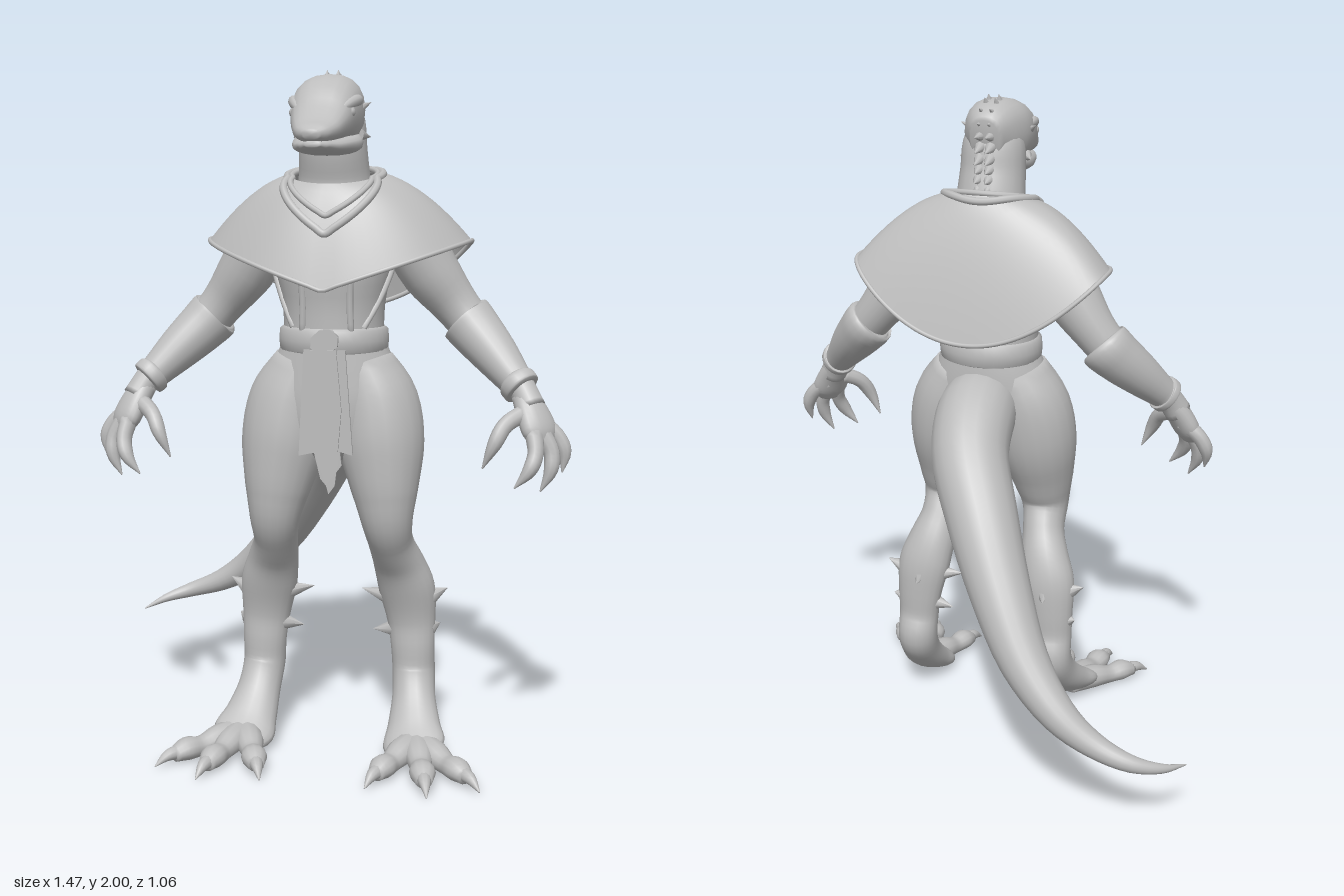
import * as THREE from 'three';

const V = (x, y, z) => new THREE.Vector3(x, y, z);
const grey = new THREE.MeshStandardMaterial({ color: 0xbdbdbd, side: THREE.DoubleSide });
grey.name = 'grey';
const X = V(1, 0, 0), Z = V(0, 0, 1);
const pw = (v, p) => Math.sign(v) * Math.abs(v) ** p;

// smooth body through rings [x, y, z, radiusA, radiusB]; radiusA lies along ref
function loft(rings, { ref = X, seg = 20, sub = 4, p = 1, s = 1 } = {}) {
  const path = new THREE.CatmullRomCurve3(rings.map(r => V(r[0] * s, r[1], r[2])));
  const radii = new THREE.CatmullRomCurve3(rings.map(r => V(r[3], r[4] ?? r[3], 0)), false, 'catmullrom');
  const n = (rings.length - 1) * sub, pos = [], idx = [];
  const a = ref.clone(), at = (i, j) => i * seg + j % seg;
  for (let i = 0; i <= n; i++) {
    const c = path.getPoint(i / n), t = path.getTangent(i / n), r = radii.getPoint(i / n);
    a.addScaledVector(t, -a.dot(t)).normalize();
    const b = t.clone().cross(a);
    for (let j = 0; j < seg; j++) {
      const th = j / seg * Math.PI * 2;
      const q = c.clone().addScaledVector(a, r.x * pw(Math.cos(th), p)).addScaledVector(b, r.y * pw(Math.sin(th), p));
      pos.push(q.x, q.y, q.z);
      if (i < n) idx.push(at(i, j), at(i, j + 1), at(i + 1, j), at(i, j + 1), at(i + 1, j + 1), at(i + 1, j));
    }
  }
  const first = path.getPoint(0), last = path.getPoint(1), k = (n + 1) * seg;
  pos.push(...first.toArray(), ...last.toArray());
  for (let j = 0; j < seg; j++) idx.push(k, at(0, j + 1), at(0, j), k + 1, at(n, j), at(n, j + 1));
  return indexed(pos, idx);
}

function indexed(pos, idx) {
  const g = new THREE.BufferGeometry();
  g.setAttribute('position', new THREE.Float32BufferAttribute(pos, 3));
  g.setIndex(idx);
  g.computeVertexNormals();
  return g;
}

// cape surface: angle a around the neck, t from collar to hem
function capePoint(a, t) {
  const c = Math.cos(a), s = Math.sin(a);
  const hz = s > 0 ? 0.07 + 0.28 * s : 0.07 - 0.165 * Math.abs(s) ** 0.65;
  const hy = s > 0 ? 1.39 + 0.13 * Math.abs(c) : 1.31 + 0.21 * c * c;
  const h = t ** (1 - 0.3 * s * s), d = t ** (1 + 0.7 * c * c);
  const y0 = 1.71 - 0.025 * s, z0 = 0.15 + 0.1 * s;
  return V(0.125 * c + (0.39 - 0.125) * c * h, y0 + (hy - y0) * d, z0 + (hz - z0) * h);
}

export function createModel() {
  const model = new THREE.Group();
  const body = new THREE.Group();
  body.name = 'lizardWarrior';
  body.position.x = 0.035;
  model.add(body);
  const add = (name, geo) => {
    const m = new THREE.Mesh(geo, grey);
    m.name = name;
    body.add(m);
    return m;
  };
  const spike = (name, from, to, r) => {
    const d = to.clone().sub(from);
    const m = add(name, new THREE.ConeGeometry(r, d.length(), 8));
    m.position.copy(from).addScaledVector(d, 0.5);
    m.quaternion.setFromUnitVectors(V(0, 1, 0), d.normalize());
    return m;
  };

  // head, jaw and neck
  add('head', loft([[0, 1.88, 0.1, 0.045, 0.06], [0, 1.89, 0.15, 0.08, 0.09], [0, 1.888, 0.22, 0.1, 0.1],
    [0, 1.878, 0.29, 0.097, 0.09], [0, 1.85, 0.36, 0.083, 0.056], [0, 1.828, 0.42, 0.066, 0.034],
    [0, 1.818, 0.465, 0.048, 0.024], [0, 1.814, 0.488, 0.022, 0.012]], { p: 0.85 }));
  add('jaw', loft([[0, 1.81, 0.18, 0.08, 0.04], [0, 1.797, 0.25, 0.1, 0.035], [0, 1.79, 0.33, 0.086, 0.026],
    [0, 1.785, 0.41, 0.064, 0.019], [0, 1.787, 0.455, 0.044, 0.014], [0, 1.79, 0.474, 0.02, 0.008]], { p: 0.85 }));
  add('neck', loft([[0, 1.62, 0.15, 0.12, 0.1], [0, 1.7, 0.155, 0.105, 0.093], [0, 1.78, 0.175, 0.099, 0.09],
    [0, 1.86, 0.185, 0.094, 0.083], [0, 1.92, 0.2, 0.07, 0.06]]));

  // crest of spines down the back of the neck
  const crest = new THREE.CatmullRomCurve3([V(0, 1.965, 0.22), V(0, 1.955, 0.16), V(0, 1.89, 0.115), V(0, 1.81, 0.1), V(0, 1.74, 0.085)]);
  for (let i = 0; i < 11; i++) {
    const u = i / 10, p = crest.getPoint(u), t = crest.getTangent(u);
    const out = V(0, -t.z, t.y).addScaledVector(t, 0.35).normalize();
    for (const s of [-1, 1]) {
      const from = p.clone().add(V(0.016 * s, 0, 0));
      spike('crestSpine', from, from.clone().addScaledVector(out, 0.028 + 0.03 * Math.sin(Math.PI * u) + 0.006 * (i % 2)), 0.018);
    }
  }

  // torso with belt and buckle
  add('torso', loft([[0, 1.12, 0.16, 0.16, 0.125], [0, 1.22, 0.16, 0.148, 0.13], [0, 1.34, 0.162, 0.15, 0.13],
    [0, 1.46, 0.163, 0.175, 0.14], [0, 1.57, 0.15, 0.19, 0.125], [0, 1.64, 0.15, 0.15, 0.105], [0, 1.7, 0.15, 0.1, 0.08]], { seg: 28 }));
  add('hips', loft([[0, 1.24, 0.16, 0.148, 0.13], [0, 1.15, 0.16, 0.185, 0.135], [0, 1.05, 0.165, 0.2, 0.135],
    [0, 0.95, 0.175, 0.15, 0.12], [0, 0.88, 0.18, 0.05, 0.07]], { seg: 28 }));
  const beltShape = [[0.93, 1.205], [1, 1.21], [1.02, 1.24], [1, 1.27], [0.93, 1.278]].map(p => new THREE.Vector2(...p));
  const belt = add('belt', new THREE.LatheGeometry(beltShape, 36));
  belt.scale.set(0.158, 1, 0.142);
  belt.position.z = 0.16;
  const buckle = add('buckle', new THREE.CylinderGeometry(0.043, 0.043, 0.025, 8));
  buckle.rotation.set(Math.PI / 2, Math.PI / 8, 0, 'XYZ');
  buckle.scale.z = 0.85;
  buckle.position.set(0, 1.243, 0.3);

  // ragged loincloth with a side strip
  const cloth = (name, pts, z) => {
    const shape = new THREE.Shape(pts.map(p => new THREE.Vector2(...p)));
    const m = add(name, new THREE.ExtrudeGeometry(shape, { depth: 0.008, bevelEnabled: false }));
    m.position.z = z;
  };
  cloth('loincloth', [[-0.06, 1.22], [-0.075, 0.915], [-0.03, 0.925], [-0.012, 0.85], [0.005, 0.83], [0.012, 0.805],
    [0.03, 0.83], [0.035, 0.87], [0.05, 0.89], [0.045, 0.93], [0.082, 0.92], [0.06, 1.22]], 0.302);
  cloth('loinclothFold', [[-0.04, 1.22], [-0.03, 0.93], [0.04, 0.93], [0.05, 1.05], [0.035, 1.22]], 0.308);

  // cape shell, hem and collar trims
  const pos = [], idx = [], na = 64, nt = 12;
  for (let i = 0; i <= nt; i++) for (let j = 0; j < na; j++) {
    pos.push(...capePoint(j / na * Math.PI * 2, i / nt).toArray());
    const p = i * na + j, q = i * na + (j + 1) % na;
    if (i < nt) idx.push(p, p + na, q, q, p + na, q + na);
  }
  for (let k = 0; k < idx.length; k += 3) [idx[k + 1], idx[k + 2]] = [idx[k + 2], idx[k + 1]];
  add('cape', indexed(pos, idx));
  const trim = (name, r, tOf) => {
    const pts = [];
    for (let j = 0; j < 64; j++) {
      const a = j / 64 * Math.PI * 2;
      pts.push(capePoint(a, tOf(a)));
    }
    add(name, new THREE.TubeGeometry(new THREE.CatmullRomCurve3(pts, true), 128, r, 8, true));
  };
  const vee = (depth, base) => a => base + depth * Math.max(0, 1 - Math.abs(a - Math.PI / 2) / 1.15);
  trim('capeHem', 0.007, () => 0.995);
  trim('collarTrim', 0.012, vee(0.42, 0.05));
  trim('collarInnerTrim', 0.009, vee(0.3, 0));

  for (const s of [-1, 1]) {
    const side = s > 0 ? 'left' : 'right';
    const M = (x, y, z) => V(x * s, y, z);

    // eyes, brows and nostrils
    const eye = add(side + 'Eye', new THREE.SphereGeometry(0.016, 12, 8));
    eye.position.set(0.077 * s, 1.878, 0.335);
    add(side + 'Brow', loft([[0.08, 1.905, 0.24, 0.008], [0.089, 1.912, 0.28, 0.016], [0.075, 1.9, 0.335, 0.015], [0.05, 1.875, 0.38, 0.004]], { s, seg: 10 }));
    spike(side + 'CheekHorn', M(0.085, 1.89, 0.25), M(0.118, 1.91, 0.22), 0.016);
    spike(side + 'JawHorn', M(0.085, 1.82, 0.23), M(0.112, 1.815, 0.19), 0.018);

    // vest edge and crossing strap
    add(side + 'VestEdge', loft([[0.07, 1.27, 0.275, 0.01, 0.008], [0.068, 1.36, 0.281, 0.01, 0.008], [0.075, 1.47, 0.29, 0.01, 0.008], [0.09, 1.58, 0.262, 0.01, 0.008]], { s, seg: 8 }));
    add(side + 'Strap', loft([[0.1, 1.28, 0.25, 0.012, 0.008], [0.14, 1.36, 0.21, 0.012, 0.008], [0.172, 1.45, 0.18, 0.012, 0.008], [0.188, 1.54, 0.15, 0.012, 0.008]], { s, seg: 8 }));

    // arm, gauntlet and hand
    add(side + 'Arm', loft([[0.12, 1.57, 0.13, 0.07], [0.2, 1.545, 0.12, 0.088], [0.275, 1.43, 0.105, 0.085], [0.345, 1.34, 0.095, 0.068],
      [0.4, 1.275, 0.105, 0.062], [0.47, 1.2, 0.155, 0.055], [0.55, 1.115, 0.215, 0.04], [0.58, 1.06, 0.24, 0.042]], { s, ref: Z }));
    add(side + 'Gauntlet', loft([[0.372, 1.302, 0.093, 0.066], [0.378, 1.296, 0.093, 0.08], [0.41, 1.262, 0.11, 0.077], [0.47, 1.2, 0.152, 0.066],
      [0.53, 1.135, 0.2, 0.05], [0.548, 1.117, 0.213, 0.047]], { s, ref: Z }));
    add(side + 'WristCuff', loft([[0.533, 1.132, 0.202, 0.045], [0.536, 1.129, 0.205, 0.056], [0.552, 1.113, 0.216, 0.055], [0.555, 1.11, 0.218, 0.043]], { s, ref: Z }));
    add(side + 'Palm', loft([[0.555, 1.1, 0.22, 0.036, 0.034], [0.583, 1.05, 0.245, 0.052, 0.036], [0.605, 1.0, 0.262, 0.058, 0.034], [0.615, 0.965, 0.272, 0.035, 0.02]], { s, ref: V(-s, 0, 1).normalize() }));
    const fingers = [
      [[0.595, 1.03, 0.235], [0.652, 0.985, 0.235], [0.675, 0.94, 0.24], [0.67, 0.883, 0.25]],
      [[0.61, 1.0, 0.265], [0.64, 0.945, 0.275], [0.64, 0.895, 0.287], [0.612, 0.835, 0.295]],
      [[0.59, 1.0, 0.285], [0.598, 0.945, 0.31], [0.583, 0.9, 0.33], [0.542, 0.85, 0.338]],
      [[0.56, 1.05, 0.26], [0.512, 1.02, 0.3], [0.485, 0.97, 0.325], [0.452, 0.9, 0.325]]];
    for (const f of fingers)
      add(side + 'Finger', loft(f.map((p, i) => [...p, [0.026, 0.023, 0.02, 0.002][i]]), { s, ref: Z, seg: 10 }));

    // leg with raised heel
    add(side + 'Leg', loft([[0.085, 1.17, 0.16, 0.09, 0.11], [0.125, 1.06, 0.167, 0.125, 0.125], [0.145, 0.93, 0.183, 0.127, 0.124],
      [0.16, 0.8, 0.207, 0.098, 0.098], [0.168, 0.71, 0.212, 0.075, 0.076], [0.175, 0.635, 0.172, 0.066, 0.07], [0.193, 0.56, 0.127, 0.077, 0.065],
      [0.213, 0.48, 0.102, 0.086, 0.061], [0.225, 0.38, 0.09, 0.074, 0.05], [0.23, 0.3, 0.092, 0.067, 0.051], [0.233, 0.225, 0.085, 0.065, 0.065],
      [0.24, 0.15, 0.13, 0.066, 0.058], [0.25, 0.085, 0.2, 0.08, 0.05], [0.258, 0.052, 0.26, 0.092, 0.038], [0.265, 0.035, 0.32, 0.06, 0.022]], { s }));
    for (const [a, b] of [[[0.15, 0.455, 0.1], [0.072, 0.47, 0.09]], [[0.285, 0.46, 0.1], [0.335, 0.485, 0.09]],
      [[0.17, 0.35, 0.09], [0.106, 0.342, 0.085]], [[0.21, 0.46, 0.06], [0.215, 0.435, 0.03]], [[0.283, 0.36, 0.09], [0.312, 0.37, 0.075]]])
      spike(side + 'LegSpike', M(...a), M(...b), 0.026);

    // three toes, each ending in a claw
    for (const [tx, tz] of [[0.152, 0.5], [0.331, 0.53], [0.472, 0.465]]) {
      const at = (u, y, r, ry = r) => [0.26 + (tx - 0.26) * u, y, 0.23 + (tz - 0.23) * u, r, ry];
      add(side + 'Toe', loft([at(0, 0.05, 0.04), at(0.3, 0.045, 0.042, 0.038), at(0.5, 0.034, 0.032, 0.029), at(0.66, 0.037, 0.038, 0.033), at(0.8, 0.028, 0.024, 0.021)], { s, seg: 12 }));
      add(side + 'ToeClaw', loft([at(0.72, 0.034, 0.022), at(0.86, 0.032, 0.017), at(1, 0.008, 0.002)], { s, seg: 10 }));
    }
  }

  // sweeping tail
  add('tail', loft([[0, 1.08, 0.12, 0.11], [0, 1.06, 0.02, 0.122], [-0.025, 0.975, -0.11, 0.117], [-0.1, 0.84, -0.225, 0.108], [-0.195, 0.66, -0.335, 0.092],
    [-0.3, 0.49, -0.425, 0.073], [-0.42, 0.37, -0.48, 0.053], [-0.53, 0.3, -0.493, 0.037], [-0.64, 0.26, -0.49, 0.025], [-0.72, 0.237, -0.45, 0.014], [-0.775, 0.217, -0.378, 0.002]]));
  return model;
}
